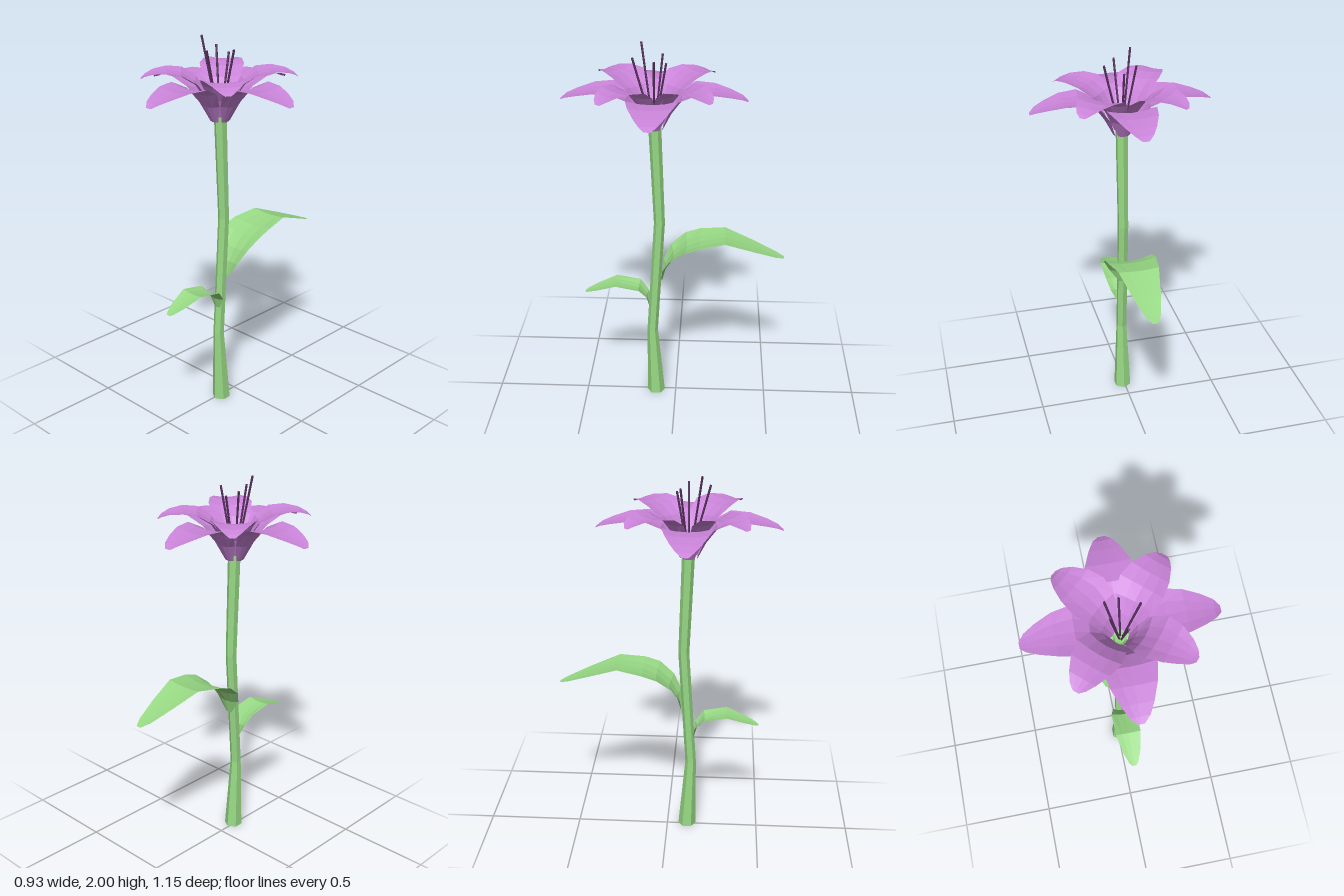
import * as THREE from 'three';

const material = (color) => new THREE.MeshStandardMaterial({ color, flatShading: true, side: THREE.DoubleSide });
const petalMat = material(0xc983d8);
const greenMat = material(0x97d884);
const stamenMat = material(0x55305c);

function addMesh(parent, name, geometry, mat) {
  const mesh = new THREE.Mesh(geometry, mat);
  mesh.name = name;
  parent.add(mesh);
  return mesh;
}

// A blade growing along +z. Each row is [z, y, half width, cup depth];
// the cup lifts the edges along the normal of the midrib.
function bladeGeometry(rows) {
  const across = [-1, -0.5, 0, 0.5, 1];
  const n = across.length;
  const positions = [];
  const index = [];
  rows.forEach(([z, y, half, cup], i) => {
    const a = rows[Math.max(i - 1, 0)];
    const b = rows[Math.min(i + 1, rows.length - 1)];
    const length = Math.hypot(b[0] - a[0], b[1] - a[1]);
    const nz = -(b[1] - a[1]) / length;
    const ny = (b[0] - a[0]) / length;
    across.forEach((u, j) => {
      const lift = cup * u * u;
      positions.push(u * half, y + ny * lift, z + nz * lift);
      if (i > 0 && j > 0) {
        const d = i * n + j;
        index.push(d - n - 1, d - 1, d, d - n - 1, d, d - n);
      }
    });
  });
  const geometry = new THREE.BufferGeometry();
  geometry.setAttribute('position', new THREE.Float32BufferAttribute(positions, 3));
  geometry.setIndex(index);
  geometry.computeVertexNormals();
  return geometry;
}

// Six-sided stem, bent and tapered through [y, z, radius] levels
function stemGeometry() {
  const levels = [[0, 0.11, 0.048], [0.4, 0.127, 0.029], [1.05, 0.085, 0.029], [1.6, 0.105, 0.033]];
  const geometry = new THREE.CylinderGeometry(1, 1, 1, 6, levels.length - 1);
  const p = geometry.attributes.position;
  for (let i = 0; i < p.count; i++) {
    const [y, z, r] = levels[Math.round((p.getY(i) + 0.5) * (levels.length - 1))];
    p.setXYZ(i, 0.01 + p.getX(i) * r, y, z + p.getZ(i) * r);
  }
  geometry.computeVertexNormals();
  return geometry;
}

export function createModel() {
  const model = new THREE.Group();
  model.name = 'flower';

  addMesh(model, 'stem', stemGeometry(), greenMat);

  // Leaves: a small one in front, a large one behind
  const frontLeaf = addMesh(model, 'frontLeaf', bladeGeometry([
    [0.145, 0.56, 0.02, 0.005], [0.16, 0.615, 0.05, 0.015], [0.20, 0.665, 0.068, 0.015],
    [0.32, 0.695, 0.068, 0.007], [0.42, 0.66, 0.046, 0.004], [0.475, 0.64, 0.024, 0.002], [0.49, 0.635, 0.01, 0],
  ]), greenMat);
  frontLeaf.position.x = 0.015;

  const backLeaf = addMesh(model, 'backLeaf', bladeGeometry([
    [-0.07, 0.72, 0.02, 0.005], [-0.05, 0.795, 0.075, 0.02], [-0.01, 0.86, 0.11, 0.025],
    [0.06, 0.92, 0.13, 0.022], [0.13, 0.95, 0.128, 0.015], [0.26, 0.977, 0.105, 0.008],
    [0.41, 0.925, 0.073, 0.004], [0.53, 0.88, 0.04, 0.002], [0.575, 0.865, 0.014, 0],
  ]), greenMat);
  backLeaf.position.x = 0.015;
  backLeaf.rotation.y = Math.PI;

  // Flower head
  const bloom = new THREE.Group();
  bloom.name = 'bloom';
  bloom.position.set(0.01, 0, 0.107);
  model.add(bloom);

  const outerPetal = bladeGeometry([
    [0.045, 1.575, 0.028, 0.006], [0.09, 1.66, 0.07, 0.02], [0.14, 1.73, 0.105, 0.022],
    [0.21, 1.768, 0.125, 0.018], [0.30, 1.77, 0.106, 0.012], [0.38, 1.755, 0.075, 0.007],
    [0.435, 1.74, 0.046, 0.004], [0.465, 1.725, 0.016, 0],
  ]);
  for (let i = 0; i < 4; i++) {
    const petal = addMesh(bloom, 'outerPetal', outerPetal, petalMat);
    petal.rotation.y = i * Math.PI / 2;
  }

  const innerPetal = bladeGeometry([
    [0.035, 1.6, 0.025, 0.005], [0.075, 1.69, 0.06, 0.018], [0.125, 1.765, 0.095, 0.02],
    [0.19, 1.808, 0.113, 0.018], [0.26, 1.822, 0.098, 0.013], [0.325, 1.818, 0.068, 0.008],
    [0.365, 1.805, 0.04, 0.004], [0.385, 1.793, 0.014, 0],
  ]);
  for (const angle of [0.88, 2.4, -2.42, -0.73]) {
    const petal = addMesh(bloom, 'innerPetal', innerPetal, petalMat);
    petal.rotation.y = angle;
  }

  // Stamens fan out from the centre to these tips
  const tips = [[-0.05, 2, 0.17], [0.025, 1.94, 0.21], [0.1, 1.94, 0.1], [-0.055, 1.94, 0.065], [0.012, 1.91, 0.045]];
  for (const [x, y, z] of tips) {
    const tip = new THREE.Vector3(x, y, z);
    const base = new THREE.Vector3(0.01 + (x - 0.01) * 0.12, 1.6, 0.107 + (z - 0.107) * 0.12);
    const direction = tip.clone().sub(base);
    const stamen = addMesh(model, 'stamen', new THREE.CylinderGeometry(0.006, 0.005, direction.length(), 5), stamenMat);
    stamen.position.copy(base).add(tip).multiplyScalar(0.5);
    stamen.quaternion.setFromUnitVectors(new THREE.Vector3(0, 1, 0), direction.normalize());
  }
  return model;
}
